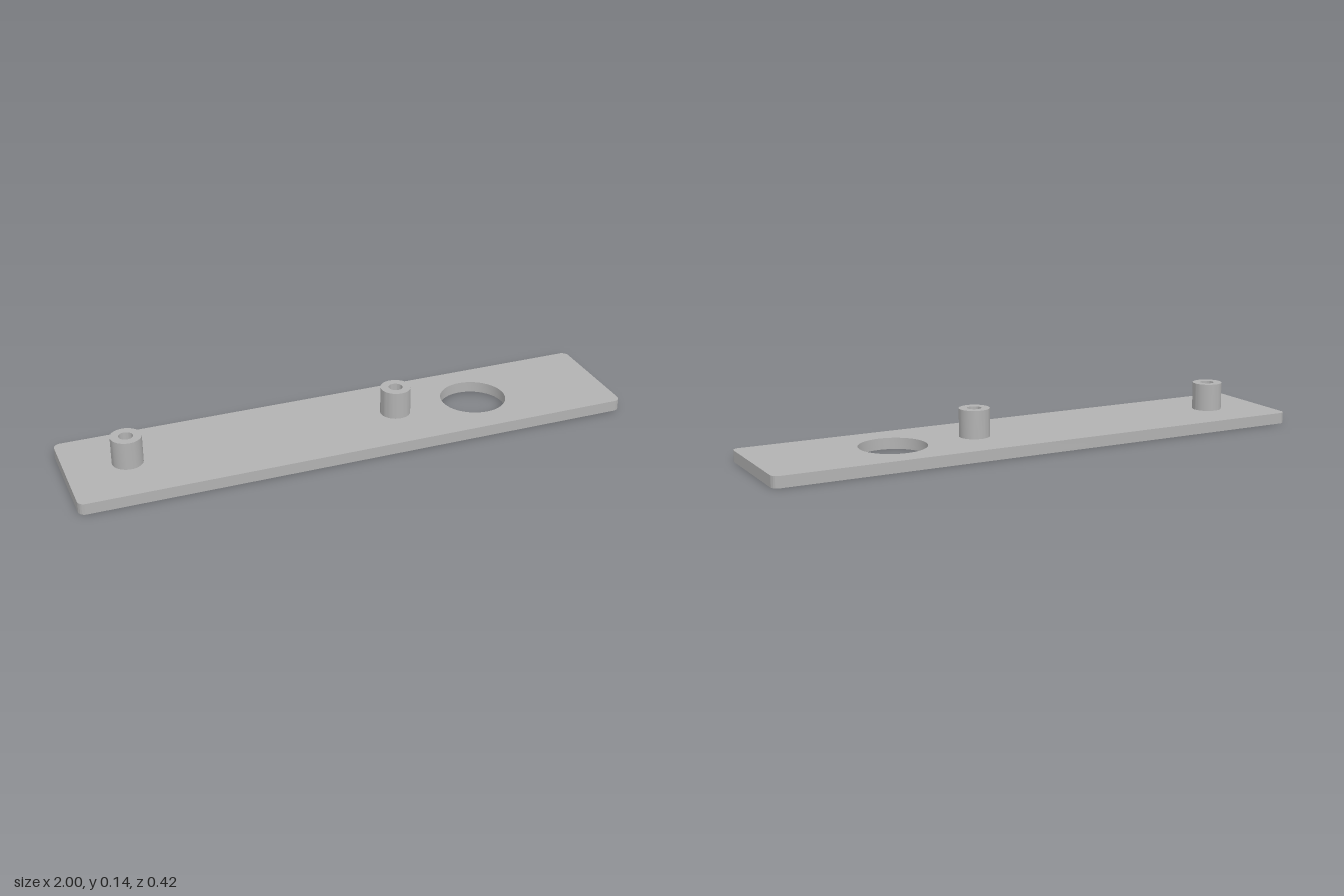
import * as THREE from 'three';
import { toCreasedNormals } from 'three/addons/utils/BufferGeometryUtils.js';

const PLATE_TOP = 0.04, GROOVE_DEPTH = 0.008, POST_TOP = 0.14;
const GROOVE_HALF = 0.006, HOLE_Z = -0.005;
const POSTS = [-0.785, 0.197];

// grooves on the underside, as [x, z] centre lines
const GROOVES = [
  [[0.77, -0.125], [0.945, -0.125], [0.945, 0.005], [0.855, 0.005], [0.855, 0.11], [0.745, 0.11]],
  [[0.067, 0.077], [-0.077, 0.077], [-0.077, -0.052], [-0.18, -0.052], [-0.18, 0.06], [-0.28, 0.06],
    [-0.28, -0.124], [-0.44, -0.124], [-0.44, 0.02], [-0.53, 0.02], [-0.53, 0.112], [-0.64, 0.112]],
  [[0.02, 0.138], [-0.64, 0.138]],
  [[-0.33, -0.155], [-0.4, -0.155]],
];
const DOTS = [[0.845, -0.08], [0.83, -0.045], [0.83, -0.005], [0.857, -0.02],
  [-0.32, -0.05], [-0.33, 0.02], [-0.4, 0], [-0.36, -0.04]];

function circle(x, z, r) {
  return new THREE.Path().absarc(x, -z, r, 0, Math.PI * 2, true);
}

// closed outline around a centre line, with mitred corners and square ends
function grooveOutline(line) {
  const pts = line.map(([x, z]) => new THREE.Vector2(x, -z));
  const dirs = pts.slice(1).map((p, i) => p.clone().sub(pts[i]).normalize());
  const left = [], right = [];
  pts.forEach((p, i) => {
    const a = dirs[Math.max(i - 1, 0)], b = dirs[Math.min(i, dirs.length - 1)];
    const off = new THREE.Vector2(-a.y, a.x);
    if (Math.abs(a.dot(b)) < 0.5) off.add(new THREE.Vector2(-b.y, b.x));
    off.multiplyScalar(GROOVE_HALF);
    left.push(p.clone().add(off));
    right.push(p.clone().sub(off));
  });
  return new THREE.Path([...left, ...right.reverse()]);
}

// rounded plate outline with the through holes
function plateShape() {
  const w = 1, d = 0.21, r = 0.025, s = new THREE.Shape();
  s.absarc(w - r, d - r, r, 0, Math.PI / 2);
  s.absarc(-w + r, d - r, r, Math.PI / 2, Math.PI);
  s.absarc(-w + r, -d + r, r, Math.PI, Math.PI * 1.5);
  s.absarc(w - r, -d + r, r, Math.PI * 1.5, Math.PI * 2);
  s.closePath();
  s.holes.push(circle(0.505, HOLE_Z, 0.119));
  for (const x of POSTS) s.holes.push(circle(x, HOLE_Z, 0.025));
  return s;
}

export function createModel() {
  const group = new THREE.Group();
  const grey = new THREE.MeshStandardMaterial({ color: 0xb2b2b2 });
  grey.name = 'grey';

  // extrude a plan shape upward between two heights
  function slab(name, shape, y0, y1) {
    const geo = new THREE.ExtrudeGeometry(shape, { depth: y1 - y0, bevelEnabled: false, curveSegments: 24 });
    geo.rotateX(-Math.PI / 2).translate(0, y0, 0);
    const mesh = new THREE.Mesh(toCreasedNormals(geo, 0.6), grey);
    mesh.name = name;
    group.add(mesh);
  }

  // plate body and the grooved underside layer
  slab('plate', plateShape(), GROOVE_DEPTH, PLATE_TOP);
  const under = plateShape();
  for (const line of GROOVES) under.holes.push(grooveOutline(line));
  for (const [x, z] of DOTS) under.holes.push(circle(x, z, 0.006));
  slab('groovedUnderside', under, 0, GROOVE_DEPTH);

  // hollow mounting posts
  POSTS.forEach((x, i) => {
    const ring = new THREE.Shape().absarc(x, -HOLE_Z, 0.054, 0, Math.PI * 2);
    ring.holes.push(circle(x, HOLE_Z, 0.025));
    slab(i ? 'leftPost' : 'rightPost', ring, PLATE_TOP, POST_TOP);
  });

  return group;
}
